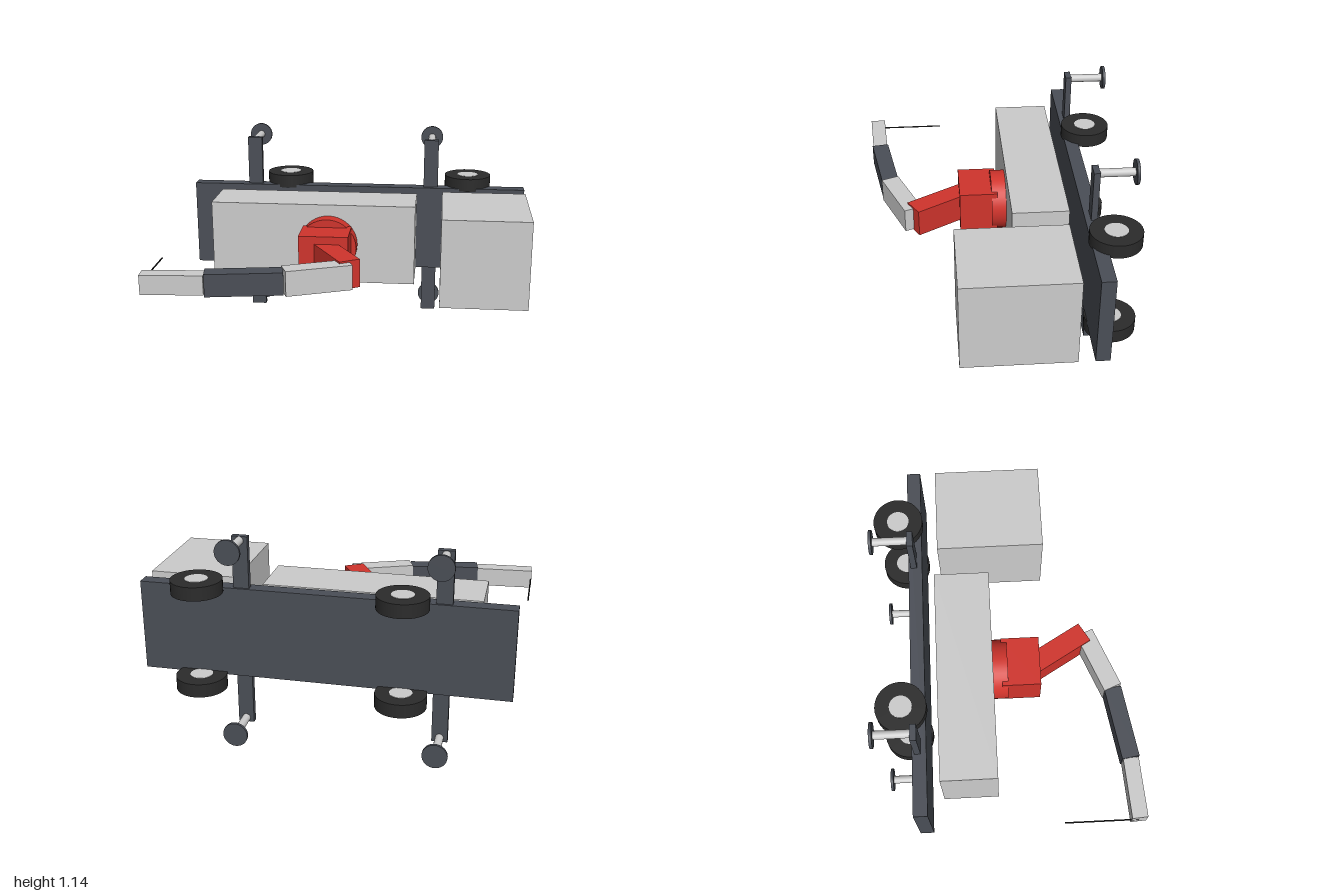
import * as THREE from 'three';

const MID = 0.572; // centre plane in y; the vehicle's own up axis points along +z

const mat = (color) => new THREE.MeshStandardMaterial({ color });

export function createModel() {
  const root = new THREE.Group();
  const grey = mat(0xcccccc), dark = mat(0x4a4e56), red = mat(0xd0342c);
  const rubber = mat(0x2b2b2b), black = mat(0x151515);

  const add = (name, geometry, material, x, y, z) => {
    const mesh = new THREE.Mesh(geometry, material);
    mesh.name = name;
    mesh.position.set(x, y, z);
    root.add(mesh);
    return mesh;
  };

  // Box centred on the middle plane, given its x and z ranges and height in y
  const slab = (name, material, x0, x1, z0, z1, height) =>
    add(name, new THREE.BoxGeometry(x1 - x0, height, z1 - z0), material,
      (x0 + x1) / 2, MID, (z0 + z1) / 2);

  // Cylinder lying along z
  const zCylinder = (name, material, radius, x, y, z0, z1, sides = 32) => {
    const geometry = new THREE.CylinderGeometry(radius, radius, z1 - z0, sides);
    geometry.rotateX(Math.PI / 2);
    return add(name, geometry, material, x, y, (z0 + z1) / 2);
  };

  // Chassis, cab and body
  slab('chassis', dark, -0.97, 0.998, -0.518, -0.443, 0.496);
  slab('cab', grey, 0.518, 0.998, -0.358, 0.232, 0.496);
  slab('body', grey, -0.79, 0.37, -0.38, -0.078, 0.458);

  // Slewing base of the crane
  zCylinder('turntable', red, 0.165, -0.12, MID, -0.078, 0.002, 40);
  slab('craneHouse', red, -0.257, 0.016, -0.03, 0.18, 0.24);

  // Folding boom: each section runs between neighbouring joints in the xz plane
  const joints = [[-0.12, 0.15], [0.05, 0.44], [-0.277, 0.572], [-0.672, 0.637], [-0.996, 0.658]];
  const sections = [
    ['lowerBoom', red, 0.117, 0.154],
    ['innerBoom', grey, 0.1, 0.135],
    ['middleBoom', dark, 0.094, 0.121],
    ['outerBoom', grey, 0.084, 0.105],
  ];
  sections.forEach(([name, material, depth, height], i) => {
    const [ax, az] = joints[i], [bx, bz] = joints[i + 1];
    const length = Math.hypot(bx - ax, bz - az);
    const boom = add(name, new THREE.BoxGeometry(length, height, depth), material,
      (ax + bx) / 2, MID, (az + bz) / 2);
    boom.rotation.y = -Math.atan2(bz - az, bx - ax);
  });

  // Cable at the boom tip
  zCylinder('cable', black, 0.004, -0.995, MID, 0.265, 0.655, 8);

  // Wheels
  for (const x of [-0.405, 0.666]) {
    for (const side of [-1, 1]) {
      const y = MID + side * 0.27;
      add('tyre', new THREE.CylinderGeometry(0.135, 0.135, 0.074, 40), rubber, x, y, -0.568);
      add('wheelHub', new THREE.CylinderGeometry(0.06, 0.06, 0.078, 32), grey, x, y, -0.568);
    }
  }

  // Outriggers: a cross beam with a leg and a pad at each end
  for (const x of [-0.605, 0.448]) {
    slab('outriggerBeam', dark, x - 0.042, x + 0.042, -0.505, -0.472, 1.056);
    for (const side of [-1, 1]) {
      const y = MID + side * 0.505;
      zCylinder('outriggerLeg', grey, 0.022, x, y, -0.69, -0.5, 24);
      zCylinder('outriggerPad', dark, 0.066, x, y, -0.702, -0.687);
    }
  }

  return root;
}
